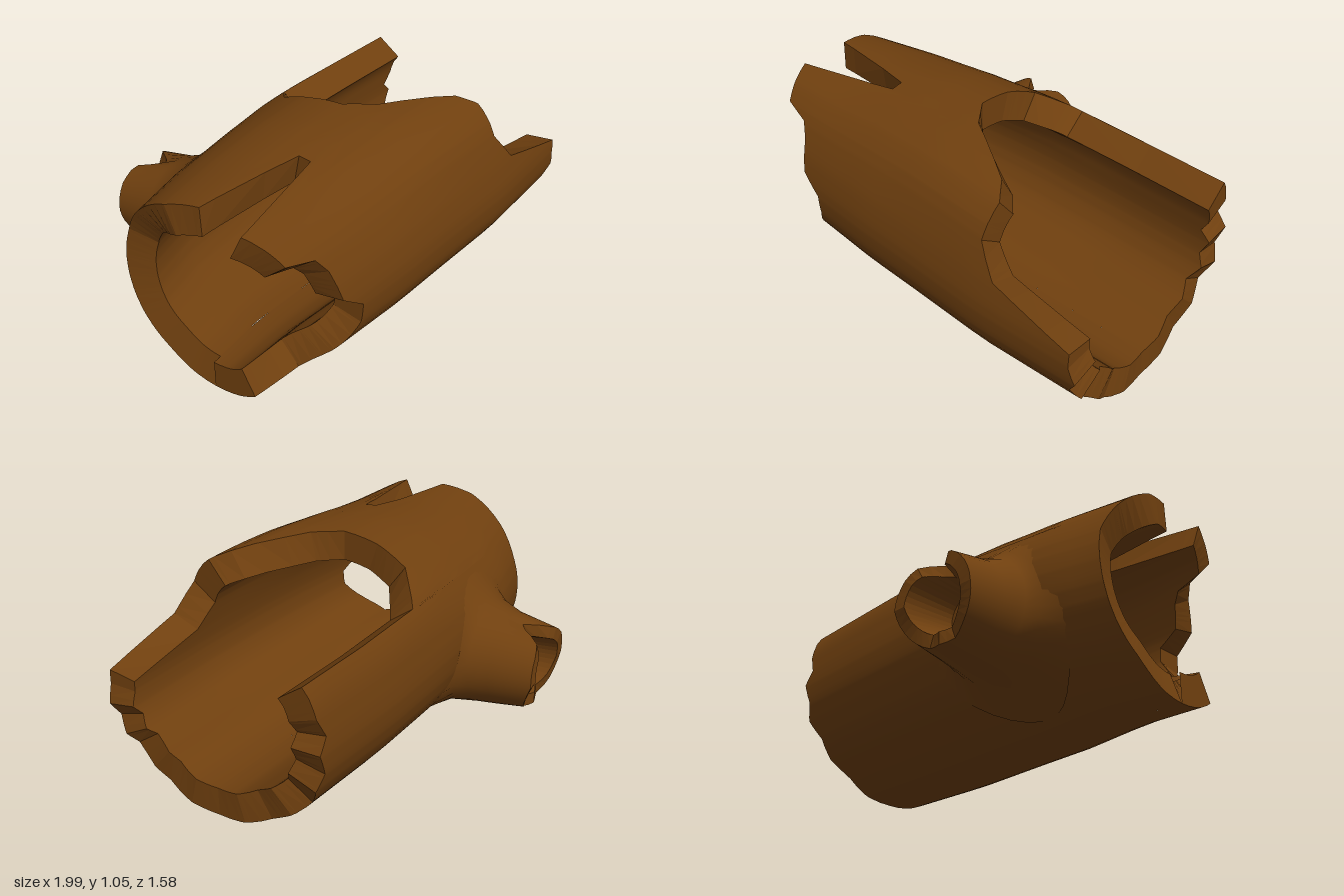
import * as THREE from 'three';
import { mergeVertices } from 'three/addons/utils/BufferGeometryUtils.js';

const RAD = Math.PI / 180;

// Piecewise linear lookup in [[key, value...], ...]
function lookup(table, k, col = 1) {
  for (let i = 1; i < table.length; i++) {
    const a = table[i - 1], b = table[i];
    if (k <= b[0]) return a[col] + (b[col] - a[col]) * Math.max(0, (k - a[0]) / (b[0] - a[0]));
  }
  return table[table.length - 1][col];
}

// Surface through a grid of points; the normal is (i direction) x (j direction)
function grid(ni, nj, point, smooth) {
  const pos = [];
  for (let i = 0; i < ni; i++) {
    for (let j = 0; j < nj; j++) {
      const a = point(i, j), b = point(i + 1, j), c = point(i + 1, j + 1), d = point(i, j + 1);
      pos.push(...a, ...b, ...c, ...a, ...c, ...d);
    }
  }
  let geo = new THREE.BufferGeometry();
  geo.setAttribute('position', new THREE.Float32BufferAttribute(pos, 3));
  if (smooth) geo = mergeVertices(geo, 1e-4);
  geo.computeVertexNormals();
  return geo;
}

// Trunk cross-sections: x, centre z, radius z, centre y, radius y
const SECTIONS = [
  [-1, 0.13, 0.49, 0.53, 0.49], [-0.65, 0.12, 0.55, 0.535, 0.49], [-0.3, 0.135, 0.58, 0.535, 0.515],
  [0, 0.15, 0.592, 0.535, 0.52], [0.45, 0.18, 0.60, 0.522, 0.515], [1, 0.21, 0.58, 0.522, 0.51],
];
const WALL = 0.145;

// Broken left and right rims: angle around the trunk (0 front, 90 top), x
const START = [
  [-90, -0.97], [-62, -0.97], [-50, -0.77], [-28, -0.7], [-10, -0.62], [2, -0.62], [12, -0.73],
  [30, -0.76], [38, -0.8], [43, -0.94], [65, -1], [74, -0.46], [80, -0.46], [92, -0.97],
  [112, -1], [140, -0.97], [160, -0.94], [180, -0.95], [230, -0.97], [270, -0.97],
];
const END = [
  [-90, 0.95], [-75, 0.96], [-60, 0.94], [-50, 0.96], [-35, 0.94], [-28, 0.97], [-18, 0.94],
  [-10, 0.98], [0, 0.95], [8, 0.95], [21, 0.53], [36, 0.43], [52, 0.44], [60, 0.38], [78, 0.06],
  [90, -0.03], [108, -0.03], [126, 0], [143.5, 0.18], [144.5, 0.99], [160, 0.98], [170, 0.94],
  [178, 0.99], [190, 0.95], [200, 0.98], [212, 0.93], [225, 0.96], [240, 0.94], [255, 0.96], [270, 0.95],
];

// Swellings and hollows of the bark that make the section less round
function unevenness(x, deg) {
  const bump = (at, width) => Math.exp(-(((deg - at) / width) ** 2));
  const right = THREE.MathUtils.smoothstep(x, -0.5, 0.35);
  return (0.035 + 0.04 * right) * bump(52, 22) + 0.035 * right * bump(146, 15)
    - 0.035 * bump(-44, 17) - 0.015 * bump(235, 15);
}

function trunkPoint(x, deg, inset) {
  const [cz, rz, cy, ry] = [1, 2, 3, 4].map((c) => lookup(SECTIONS, x, c));
  const d = unevenness(x, deg) - inset, t = deg * RAD;
  return [x, cy + (ry + d) * Math.sin(t), cz + (rz + d) * Math.cos(t)];
}

function buildTrunk(material) {
  const group = new THREE.Group();
  group.name = 'hollowTrunk';
  const set = new Set([...START, ...END].map((p) => p[0]));
  for (let a = -90; a <= 270; a += 6) set.add(a);
  const angles = [...set].sort((a, b) => a - b);
  const nt = angles.length - 1, nx = 14;
  const at = (u, j, depth) => {
    const a = angles[j];
    // The left rim slopes inwards along the back
    const bevel = 0.045 * depth * THREE.MathUtils.smoothstep(a, 115, 145);
    return trunkPoint(THREE.MathUtils.lerp(lookup(START, a) + bevel, lookup(END, a), u), a, depth * WALL);
  };
  const add = (name, geo) => {
    const mesh = new THREE.Mesh(geo, material);
    mesh.name = name;
    group.add(mesh);
  };
  add('bark', grid(nx, nt, (i, j) => at(i / nx, j, 0), true));
  add('innerWall', grid(nt, nx, (i, j) => at(j / nx, i, 1), true));
  add('brokenRightRim', grid(1, nt, (i, j) => at(1, j, i), false));
  add('brokenLeftRim', grid(nt, 1, (i, j) => at(0, i, j), false));
  return group;
}

// Back surface of the trunk at a given x, y
function trunkBack(x, y) {
  const [cz, rz, cy, ry] = [1, 2, 3, 4].map((c) => lookup(SECTIONS, x, c));
  const s = (y - cy) / ry;
  return cz - rz * Math.sqrt(Math.max(0, 1 - s * s));
}

// Jagged branch tip: angle (0 = +x, 90 = up), z
const TIP = [
  [0, -0.79], [45, -0.78], [62, -0.76], [88, -0.63], [112, -0.77], [140, -0.78], [180, -0.77],
  [225, -0.74], [250, -0.71], [270, -0.73], [290, -0.71], [320, -0.74], [360, -0.79],
];

function buildBranch(material) {
  const group = new THREE.Group();
  group.name = 'branchStub';
  const n = 36;
  const ellipse = (j, cx, cy, rx, ry) => {
    const t = ((j % n) / n) * Math.PI * 2;
    return [cx + rx * Math.cos(t), cy + ry * Math.sin(t)];
  };
  // Flared outer rings; the first follows the trunk, the last is the tip
  const rings = [
    [-0.38, 0.45, 0.41, 0.39], [-0.38, 0.45, 0.30, 0.30, -0.42], [-0.38, 0.435, 0.262, 0.262, -0.48],
    [-0.38, 0.42, 0.236, 0.235, -0.58], [-0.385, 0.41, 0.215, 0.205],
  ];
  const tipZ = (j) => lookup(TIP, ((j % n) / n) * 360);
  const outer = (i, j) => {
    const [cx, cy, rx, ry, z] = rings[i];
    const [x, y] = ellipse(j, cx, cy, rx, ry);
    if (i === 0) return [x, y, trunkBack(x, y) + 0.01];
    if (i === 4) return [x, y, tipZ(j)];
    // Keep the flare just outside the trunk where it curves away
    return [x, y, i === 1 ? Math.max(z, trunkBack(x, y) - 0.05) : z];
  };
  const lip = (i, j) => [...ellipse(j, -0.385, 0.41, 0.215 - 0.06 * i, 0.205 - 0.06 * i), tipZ(j)];
  const bore = (i, j) => {
    const r = [0.155, 0.12, 0][i];
    return [...ellipse(j, -0.385, 0.41, r, r * 0.94), i === 0 ? tipZ(j) : -0.54];
  };
  const parts = {
    branchBark: grid(4, n, outer, true),
    branchRim: grid(1, n, lip, false),
    branchHollow: grid(2, n, bore, false),
  };
  for (const [name, geo] of Object.entries(parts)) {
    const mesh = new THREE.Mesh(geo, material);
    mesh.name = name;
    group.add(mesh);
  }
  return group;
}

export function createModel() {
  const wood = new THREE.MeshStandardMaterial({ color: 0x70400f });
  wood.name = 'brownWood';
  const model = new THREE.Group();
  model.name = 'hollowLog';
  model.add(buildTrunk(wood), buildBranch(wood));
  return model;
}
